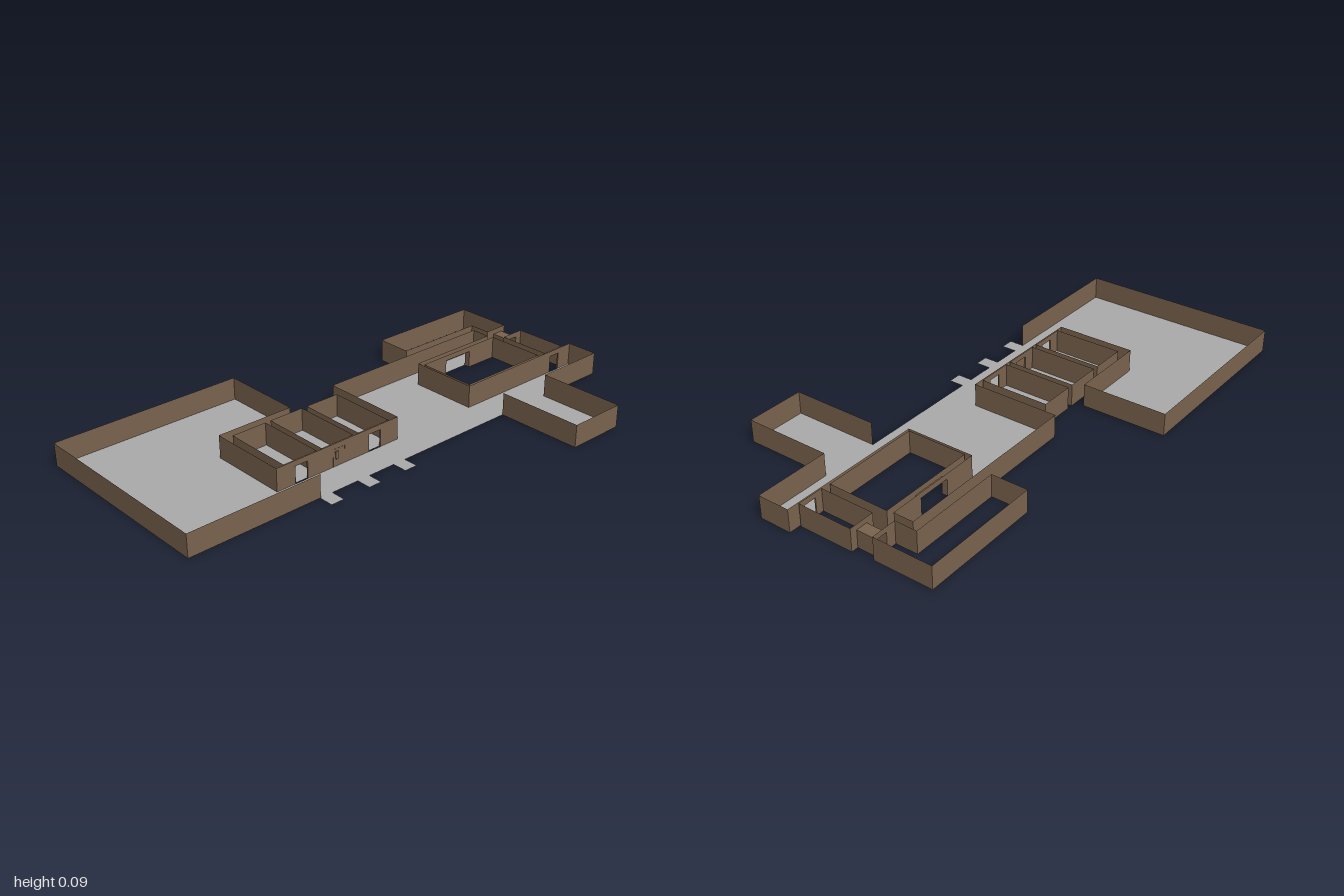
import * as THREE from 'three';

const H = 0.092; // wall height
const DOOR = 0.07; // door height

export function createModel() {
  const model = new THREE.Group();
  const wallMat = new THREE.MeshStandardMaterial({ color: 0x7a634e, side: THREE.DoubleSide });
  wallMat.name = 'wall brown';
  const floorMat = new THREE.MeshStandardMaterial({ color: 0xaaaaaa, side: THREE.DoubleSide });
  floorMat.name = 'floor grey';

  const add = (geometry, material, name, parent = model) => {
    const mesh = new THREE.Mesh(geometry, material);
    mesh.name = name;
    parent.add(mesh);
    return mesh;
  };

  // Flat floor from an outline of [x, z] corners
  const floor = (name, pts) => {
    const shape = new THREE.Shape(pts.map(([x, z]) => new THREE.Vector2(x, -z)));
    add(new THREE.ShapeGeometry(shape).rotateX(-Math.PI / 2), floorMat, name);
  };

  // One upright sheet from a to b; doors are [start, end] distances along it
  const sheet = (parent, a, b, doors = []) => {
    const dx = b[0] - a[0], dz = b[1] - a[1], len = Math.hypot(dx, dz);
    const s = new THREE.Shape();
    s.moveTo(0, 0);
    for (const [d0, d1] of doors) {
      s.lineTo(d0, 0).lineTo(d0, DOOR).lineTo(d1, DOOR).lineTo(d1, 0);
    }
    s.lineTo(len, 0).lineTo(len, H).lineTo(0, H);
    const mesh = add(new THREE.ShapeGeometry(s), wallMat, 'wall', parent);
    mesh.position.set(a[0], 0, a[1]);
    mesh.rotation.y = Math.atan2(-dz, dx);
  };

  // Chain of sheets; doorsAt maps a segment number to its doors
  const walls = (name, pts, doorsAt = {}) => {
    const group = new THREE.Group();
    group.name = name;
    model.add(group);
    for (let i = 0; i < pts.length - 1; i++) sheet(group, pts[i], pts[i + 1], doorsAt[i]);
  };

  // Two jambs and a lintel joining the doors of neighbouring walls
  const doorway = (name, x0, x1, z0, z1) => {
    const group = new THREE.Group();
    group.name = name;
    model.add(group);
    for (const x of [x0, x1]) {
      add(new THREE.PlaneGeometry(z1 - z0, DOOR).rotateY(Math.PI / 2), wallMat, 'jamb', group)
        .position.set(x, DOOR / 2, (z0 + z1) / 2);
    }
    add(new THREE.PlaneGeometry(x1 - x0, z1 - z0).rotateX(-Math.PI / 2), wallMat, 'lintel', group)
      .position.set((x0 + x1) / 2, DOOR, (z0 + z1) / 2);
  };

  // Main floor: hall, corridor, middle room with side strip, front room
  floor('mainFloor', [
    [-1, -0.58], [-0.215, -0.58], [-0.215, -0.235], [-0.54, -0.235], [-0.54, 0.09],
    [0.025, 0.09], [0.025, -0.27], [0.81, -0.27], [0.81, -0.19], [0.405, -0.19],
    [0.405, 0.09], [1, 0.09], [1, 0.22], [0.695, 0.22], [0.695, 0.575],
    [0.455, 0.575], [0.455, 0.22], [-1, 0.22],
  ]);

  // Three small rooms with doors, and steps in front of the corridor
  const cellX = [-0.505, -0.334, -0.163];
  const cellDoors = cellX.map((x) => [x + 0.047, x + 0.102]);
  cellX.forEach((x, i) => {
    const x1 = x + 0.147, [d0, d1] = cellDoors[i];
    const closed = i === 1;
    floor('smallRoomFloor', [[x, -0.2], [x1, -0.2], [x1, 0.085], [x, 0.085]]);
    walls('smallRoomWalls', [[x, 0.085], [x, -0.2], [x1, -0.2], [x1, 0.085], [x, 0.085]],
      { 3: [[x1 - d1, x1 - d0]] });
    doorway('smallRoomDoorway', d0, d1, 0.085, 0.091);
    floor('step', [[d0, 0.22], [d1, 0.22], [d1, 0.28], [d0, 0.28]]);
    if (closed) {
      add(new THREE.PlaneGeometry(d1 - d0, DOOR), wallMat, 'closedDoor')
        .position.set((d0 + d1) / 2, DOOR / 2, 0.09);
      add(new THREE.BoxGeometry(0.012, 0.03, 0.005), wallMat, 'doorHandle')
        .position.set(d0 + 0.016, 0.045, 0.093);
    }
  });

  // Large hall, corridor back wall and middle room, in one run
  walls('hallAndMiddleRoomWalls', [
    [-0.455, 0.22], [-1, 0.22], [-1, -0.58], [-0.215, -0.58], [-0.215, -0.235],
    [-0.54, -0.235], [-0.54, 0.09], [0.025, 0.09], [0.025, -0.27], [0.81, -0.27],
    [0.81, -0.19], [0.405, -0.19], [0.405, 0.09], [1, 0.09], [1, 0.22],
    [0.695, 0.22], [0.695, 0.575], [0.455, 0.575], [0.455, 0.22],
  ], {
    6: cellDoors.map(([a, b]) => [a + 0.54, b + 0.54]),
    10: [[0.81 - 0.675, 0.81 - 0.54]],
    12: [[0.88 - 0.405, 0.93 - 0.405]],
  });

  // Inner room without a floor, entered from the strip
  walls('innerRoomWalls', [
    [0.415, 0.08], [0.415, -0.166], [0.815, -0.166], [0.815, 0.08], [0.415, 0.08],
  ], { 1: [[0.54 - 0.415, 0.675 - 0.415]] });
  doorway('innerRoomDoorway', 0.54, 0.675, -0.19, -0.166);

  // Side room at the corridor end
  walls('sideRoomWalls', [
    [0.85, 0.085], [0.85, -0.137], [0.955, -0.137], [0.955, 0.085], [0.85, 0.085],
  ], { 1: [[0.03, 0.077]], 3: [[0.025, 0.075]] });
  doorway('corridorDoorway', 0.88, 0.93, 0.085, 0.091);
  doorway('backRoomDoorway', 0.88, 0.927, -0.22, -0.137);

  // Angled back room behind the strip
  walls('backRoomWalls', [
    [0.455, -0.31], [0.455, -0.457], [0.945, -0.457], [0.945, -0.22],
    [0.84, -0.22], [0.84, -0.31], [0.455, -0.31],
  ], { 3: [[0.945 - 0.927, 0.945 - 0.88]] });

  return model;
}
